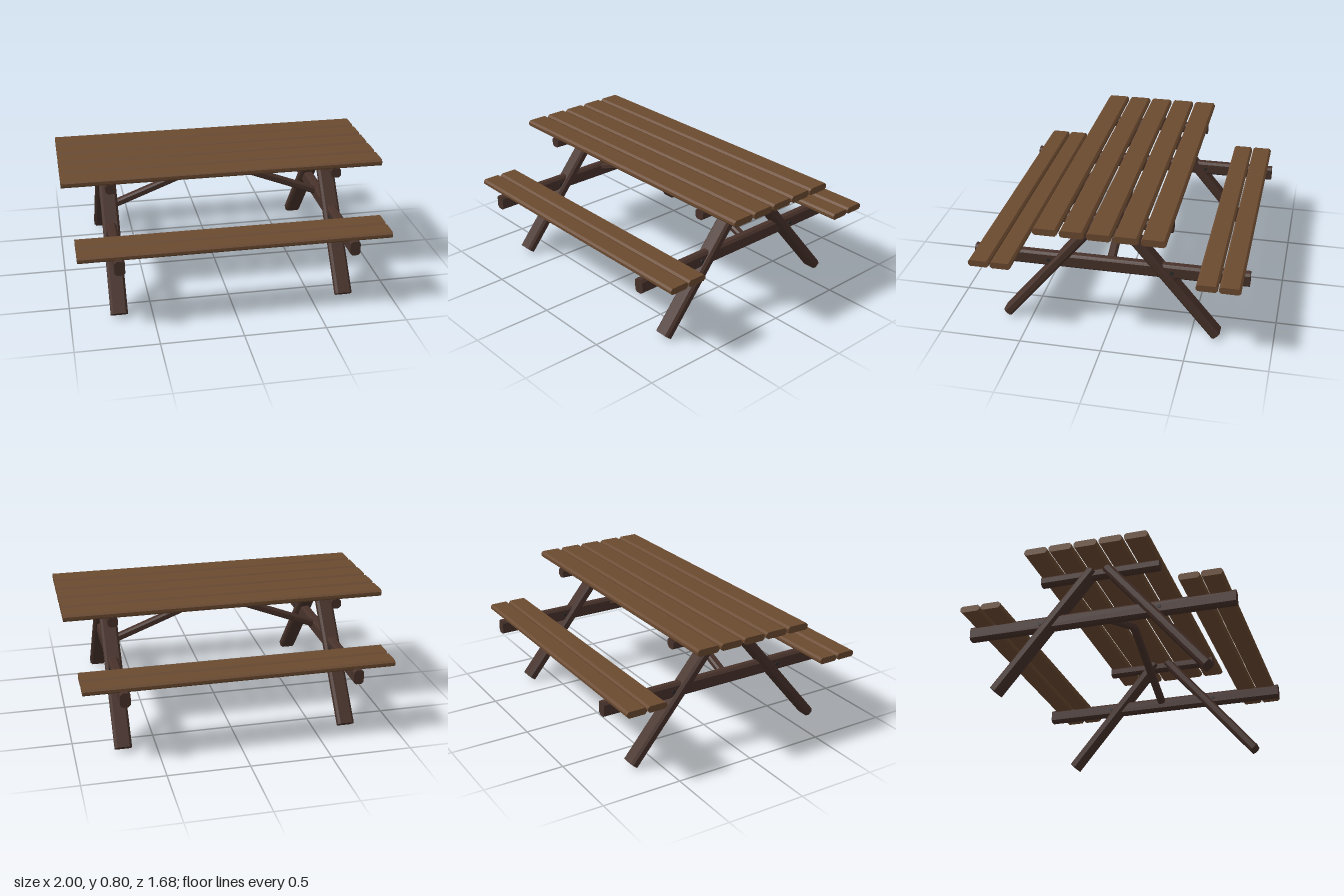
import * as THREE from 'three';

const plankMat = new THREE.MeshStandardMaterial({ color: 0x6b4a30, flatShading: true });
const frameMat = new THREE.MeshStandardMaterial({ color: 0x47312a, flatShading: true });
const boltMat = new THREE.MeshStandardMaterial({ color: 0x2a2a2a });

// Chamfered timber running between two points
function timber(name, from, to, width, height, chamfer, material) {
  const a = new THREE.Vector3(...from), b = new THREE.Vector3(...to);
  const w = width / 2, h = height / 2, c = chamfer;
  const section = new THREE.Shape([
    [w - c, -h], [w, -h + c], [w, h - c], [w - c, h],
    [-w + c, h], [-w, h - c], [-w, -h + c], [-w + c, -h],
  ].map(([x, y]) => new THREE.Vector2(x, y)));
  const length = a.distanceTo(b);
  const geometry = new THREE.ExtrudeGeometry(section, { depth: length, bevelEnabled: false });
  geometry.translate(0, 0, -length / 2);
  const mesh = new THREE.Mesh(geometry, material);
  mesh.name = name;
  mesh.position.copy(a).lerp(b, 0.5);
  mesh.lookAt(b);
  return mesh;
}

export function createModel() {
  const model = new THREE.Group();
  model.name = 'picnicTable';

  // Table top: five planks
  for (let i = -2; i <= 2; i++) {
    const z = i * 0.157;
    model.add(timber('topPlank', [-1, 0.78, z], [1, 0.78, z], 0.143, 0.042, 0.012, plankMat));
  }

  // Benches: two planks on each side
  for (const side of [-1, 1]) {
    for (const d of [0.613, 0.747]) {
      const z = side * d;
      model.add(timber('benchPlank', [-0.945, 0.486, z], [0.945, 0.486, z], 0.126, 0.04, 0.012, plankMat));
    }
  }

  // A-frame at each end
  for (const side of [-1, 1]) {
    const x = side * 0.705;
    const frame = new THREE.Group();
    frame.name = side > 0 ? 'leftFrame' : 'rightFrame';
    frame.add(timber('benchBeam', [x, 0.434, -0.84], [x, 0.434, 0.84], 0.062, 0.09, 0.014, frameMat));
    frame.add(timber('topBeam', [x, 0.731, -0.38], [x, 0.731, 0.38], 0.062, 0.062, 0.014, frameMat));
    for (const s of [-1, 1]) {
      frame.add(timber('leg', [x, 0.023, s * 0.655], [x, 0.757, s * 0.048], 0.104, 0.06, 0.014, frameMat));
      // Bolt through the bench beam beside the leg
      const bolt = new THREE.Mesh(new THREE.CylinderGeometry(0.012, 0.012, 0.07, 8), boltMat);
      bolt.name = 'bolt';
      bolt.rotation.z = Math.PI / 2;
      bolt.position.set(x, 0.432, s * 0.378);
      frame.add(bolt);
    }
    // Diagonal brace rising to the middle of the top
    frame.add(timber('brace', [x, 0.443, 0], [0, 0.717, 0], 0.05, 0.044, 0.01, frameMat));
    model.add(frame);
  }

  return model;
}
